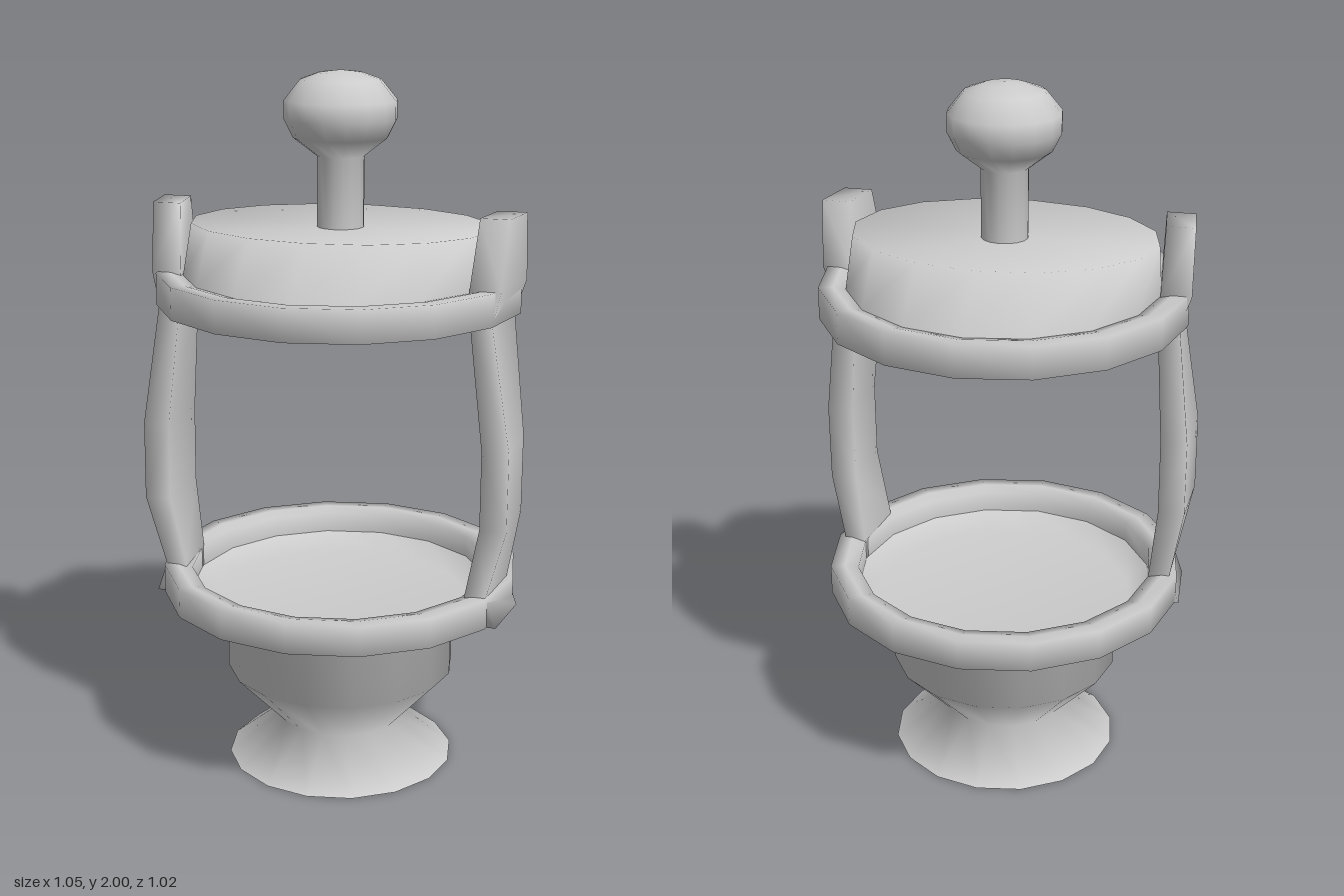
import * as THREE from 'three';
import { mergeVertices } from 'three/addons/utils/BufferGeometryUtils.js';

const SIDES = 16;
const material = new THREE.MeshStandardMaterial({ color: 0xcccccc, side: THREE.DoubleSide });

function part(name, geometry) {
  const mesh = new THREE.Mesh(geometry, material);
  mesh.name = name;
  return mesh;
}

// Round part turned from [radius, height] pairs
function turned(profile) {
  return new THREE.LatheGeometry(profile.map(([r, y]) => new THREE.Vector2(r, y)), SIDES);
}

// Rounded band, open in the middle
function rim(y0, y1) {
  return turned([
    [0.43, y0 + 0.01], [0.47, y0], [0.51, y0], [0.51, y1], [0.47, y1], [0.43, y1 - 0.01], [0.43, y0 + 0.01],
  ]);
}

// Four-sided loft; each level is [y, inner x, outer x, back z, front z, inward shift of the front edge]
function post(levels, side) {
  const positions = [];
  const index = [];
  for (const [y, xi, xo, z0, z1, shift] of levels) {
    positions.push(side * xi, y, z0, side * xo, y, z0);
    positions.push(side * (xo - shift), y, z1, side * (xi - shift), y, z1);
  }
  const quad = (a, b, c, d) => {
    if (side > 0) index.push(a, b, c, a, c, d);
    else index.push(a, c, b, a, d, c);
  };
  for (let i = 0; i < levels.length - 1; i++) {
    for (let j = 0; j < 4; j++) {
      const k = (j + 1) % 4;
      quad(i * 4 + j, i * 4 + j + 4, i * 4 + k + 4, i * 4 + k);
    }
  }
  const t = (levels.length - 1) * 4;
  quad(0, 1, 2, 3);
  quad(t + 3, t + 2, t + 1, t);
  const geometry = new THREE.BufferGeometry();
  geometry.setAttribute('position', new THREE.Float32BufferAttribute(positions, 3));
  geometry.setIndex(index);
  geometry.computeVertexNormals();
  return geometry;
}

// Shallow lid, its top edge stretched sideways to reach the posts
function lidGeometry() {
  const geometry = turned([[0, 1.575], [0.32, 1.585], [0.435, 1.45], [0.435, 1.4]]);
  const p = geometry.attributes.position;
  for (let i = 0; i < p.count; i++) {
    if (p.getY(i) > 1.58) p.setX(i, p.getX(i) * 1.33);
  }
  geometry.deleteAttribute('normal');
  geometry.deleteAttribute('uv');
  const welded = mergeVertices(geometry);
  welded.computeVertexNormals();
  return welded;
}

export function createModel() {
  const model = new THREE.Group();
  model.name = 'lantern';

  // Hollow foot, waist and cup
  model.add(part('base', turned([
    [0.33, 0], [0.18, 0.12], [0.33, 0.28], [0.33, 0.43], [0.44, 0.525],
  ])));
  const cap = new THREE.CircleGeometry(0.18, SIDES);
  cap.rotateX(Math.PI / 2);
  cap.translate(0, 0.12, 0);
  model.add(part('waistCap', cap));
  model.add(part('cupFloor', turned([[0.43, 0.53], [0.37, 0.485], [0, 0.485]])));

  // Lower and upper rims
  model.add(part('lowerRim', rim(0.515, 0.6)));
  model.add(part('upperRim', rim(1.365, 1.455)));

  // Lid with its stemmed knob
  model.add(part('lid', lidGeometry()));
  model.add(part('knob', turned([
    [0.065, 1.56], [0.065, 1.77], [0.13, 1.82], [0.155, 1.87],
    [0.155, 1.92], [0.11, 1.975], [0.06, 1.993], [0, 2],
  ])));

  // Bowed posts with raised blocks above the upper rim
  const levels = [
    [0.515, 0.43, 0.52, -0.01, 0.18, 0.02],
    [0.6, 0.43, 0.49, -0.01, 0.18, 0.02],
    [0.8, 0.45, 0.525, -0.01, 0.19, 0],
    [1.02, 0.45, 0.525, -0.015, 0.185, 0],
    [1.365, 0.43, 0.49, -0.015, 0.18, 0.02],
    [1.455, 0.435, 0.52, -0.02, 0.175, 0.03],
    [1.64, 0.44, 0.52, 0, 0.13, 0.02],
  ];
  model.add(part('leftPost', post(levels, 1)));
  model.add(part('rightPost', post(levels, -1)));

  return model;
}
